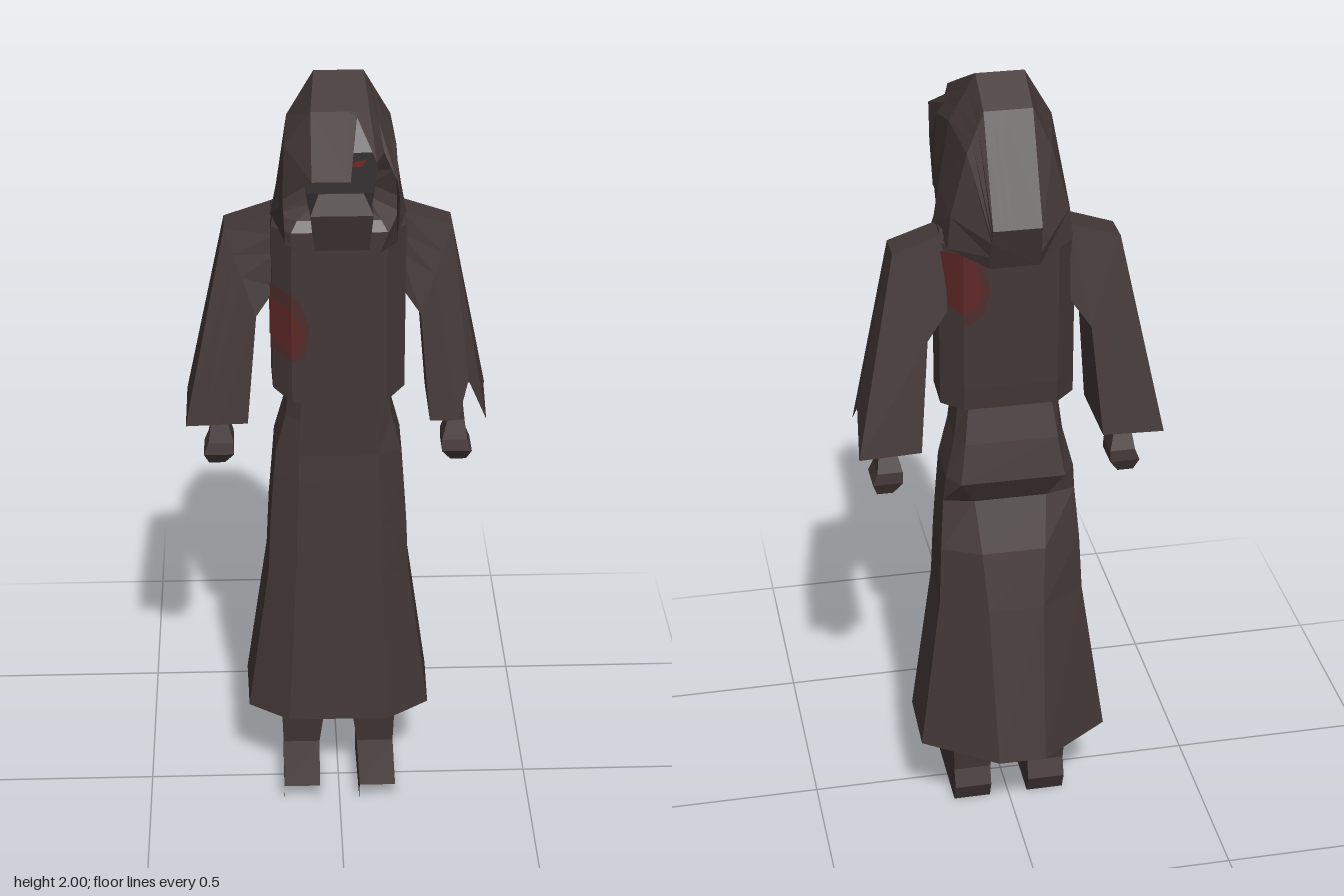
import * as THREE from 'three';

const DS = THREE.DoubleSide;
const mat = (name, color, side = THREE.FrontSide) => {
  const m = new THREE.MeshStandardMaterial({ color, flatShading: true, side });
  m.name = name;
  return m;
};

// Flat-shaded mesh from a list of polygons, each split as a fan
function polyMesh(name, polys, material) {
  const v = [];
  for (const p of polys)
    for (let i = 1; i < p.length - 1; i++) v.push(...p[0], ...p[i], ...p[i + 1]);
  const g = new THREE.BufferGeometry();
  g.setAttribute('position', new THREE.Float32BufferAttribute(v, 3));
  g.computeVertexNormals();
  const mesh = new THREE.Mesh(g, material);
  mesh.name = name;
  return mesh;
}

// Quads between successive rings; rings rise and run counter-clockwise from above
function loft(rings, { closed = true, bottom = false, top = false, flip = false } = {}) {
  const polys = [];
  for (let i = 0; i < rings.length - 1; i++) {
    const a = rings[i], b = rings[i + 1], n = a.length;
    for (let j = 0; j < (closed ? n : n - 1); j++) {
      const k = (j + 1) % n;
      polys.push([a[j], a[k], b[k], b[j]]);
    }
  }
  if (bottom) polys.push([...rings[0]].reverse());
  if (top) polys.push([...rings[rings.length - 1]]);
  return flip ? polys.map((p) => [...p].reverse()) : polys;
}

// Eight-sided ring: side width w, side corners sf/sb, back edge b/zb, front edge f/zf
const ring8 = (y, w, sf, sb, b, zb, f, zf) => [
  [w * 0.98, y, sf], [w, y, sb], [b, y, zb], [-b, y, zb],
  [-w, y, sb], [-w * 0.98, y, sf], [-f, y, zf], [f, y, zf],
];
const ring4 = (y, x0, x1, z0, z1) => [[x1, y, z1], [x1, y, z0], [x0, y, z0], [x0, y, z1]];
const mirror = (polys, s) =>
  s > 0 ? polys : polys.map((p) => p.map(([x, y, z]) => [-x, y, z]).reverse());
const mix = (a, b, t) => a.map((v, i) => v + (b[i] - v) * t);
const neg = ([x, y, z]) => [-x, y, z];

// Sleeve, from shoulder down to the flared cuff
function sleeve(torn) {
  const ring = (ox, oy, ob, of, ix, iy, ib, inf) => {
    const OB = [ox, oy, ob], OF = [ox, oy, of], IF = [ix, iy, inf], IB = [ix, iy, ib];
    return [OB, mix(OB, OF, 0.6), OF, mix(OF, IF, 0.3), mix(OF, IF, 0.55), IF, IB];
  };
  const cuff = ring(0.378, 1.095, -0.16, 0.05, 0.225, 1.1, -0.16, 0.05);
  if (torn) {
    cuff[2] = [0.365, 1.1, 0.045];
    cuff[1] = [0.362, 1.17, -0.03];
    cuff[3] = [0.32, 1.2, 0.03];
    cuff[4] = [0.295, 1.1, 0.05];
  }
  return loft([
    ring(0.15, 1.642, -0.085, -0.005, 0.15, 1.45, -0.11, 0.01),
    ring(0.275, 1.6, -0.085, -0.005, 0.2, 1.38, -0.12, 0.025),
    cuff,
  ], { flip: false });
}

// Shoe: upper, sides and heel, open at the toe and sole
function shoe() {
  const prof = [[0.055, 0.13], [0, 0.11], [0, -0.11], [0.05, -0.13], [0.1, -0.115], [0.1, -0.01]];
  const out = prof.map(([y, z]) => [0.146, y, z]);
  const inn = prof.map(([y, z]) => [0.05 + 0.02 * Math.max(z, 0), y, z]);
  const polys = [out, [...inn].reverse()];
  for (const i of [2, 3, 5]) {
    const k = (i + 1) % 6;
    polys.push([out[i], inn[i], inn[k], out[k]]);
  }
  return polys;
}

// Hood section: an arch from the right lower edge over the top to the left
function arch(bot, mid, up, top) {
  const L = [bot, mid, up, top].map(neg);
  return [...L, mix(L[3], top, 0.62), mix(L[3], top, 0.8), top,
    mix(top, up, 0.35), mix(top, up, 0.7), up, mid, bot];
}

export function createModel() {
  const cloth = mat('dark cloth', 0x423736, DS);
  const shade = mat('shadowed face', 0x363032, DS);
  const blood = mat('dried red stain', 0x5e2727, DS);
  const bloodEdge = mat('faded red stain', 0x4d2d2c, DS);
  const eyeMat = mat('red eyes', 0x74261c, DS);
  const leather = mat('dark leather', 0x413635);

  const model = new THREE.Group();
  model.name = 'hoodedFigure';
  const add = (name, polys, m = cloth) => model.add(polyMesh(name, polys, m));

  // Robe skirt with the sash bulge at the back
  add('skirt', loft([
    ring8(0.24, 0.24, 0.015, -0.17, 0.06, -0.295, 0.13, 0.09),
    ring8(0.65, 0.183, 0.012, -0.14, 0.07, -0.21, 0.11, 0.06),
    ring8(0.8, 0.176, 0.01, -0.13, 0.08, -0.175, 0.105, 0.052),
    ring8(0.93, 0.166, 0.01, -0.11, 0.09, -0.13, 0.1, 0.045),
    ring8(1.0, 0.16, 0.01, -0.12, 0.13, -0.165, 0.1, 0.04),
    ring8(1.1, 0.135, 0.01, -0.1, 0.115, -0.145, 0.095, 0.038),
    ring8(1.22, 0.12, 0.01, -0.09, 0.1, -0.115, 0.09, 0.036),
  ], { bottom: true }));

  // Torso
  const torsoBottom = ring8(1.19, 0.165, 0.03, -0.08, 0.115, -0.13, 0.115, 0.075);
  torsoBottom[6][1] = torsoBottom[7][1] = 1.17;
  add('torso', loft([
    torsoBottom,
    ring8(1.25, 0.165, 0.03, -0.08, 0.115, -0.135, 0.115, 0.075),
    ring8(1.62, 0.165, 0.03, -0.08, 0.115, -0.135, 0.115, 0.075),
    ring8(1.645, 0.16, 0.02, -0.07, 0.1, -0.12, 0.1, 0.06),
    ring8(1.69, 0.07, 0.02, -0.06, 0.05, -0.09, 0.05, 0.05),
  ], { bottom: true, top: true }));

  // Stains: thin faces over the front and back panels and their bevels
  const front = 0.078, back = -0.138;
  add('chestStainEdge', [
    [[-0.116, 1.46, front], [-0.116, 1.28, front], [-0.085, 1.29, front], [-0.07, 1.37, front], [-0.09, 1.43, front]],
    [[-0.116, 1.46, front], [-0.166, 1.475, 0.033], [-0.166, 1.3, 0.033], [-0.116, 1.28, front]],
  ], bloodEdge);
  add('chestStain', [
    [[-0.116, 1.42, front + 0.002], [-0.116, 1.3, front + 0.002], [-0.095, 1.31, front + 0.002], [-0.083, 1.36, front + 0.002]],
    [[-0.116, 1.42, front + 0.002], [-0.168, 1.44, 0.035], [-0.168, 1.34, 0.035], [-0.116, 1.3, front + 0.002]],
  ], blood);
  add('backStainEdge', [
    [[0.116, 1.62, back], [0.116, 1.42, back], [0.07, 1.44, back], [0.05, 1.51, back], [0.07, 1.61, back]],
  ], bloodEdge);
  add('backStain', [
    [[0.116, 1.61, back - 0.002], [0.116, 1.45, back - 0.002], [0.08, 1.47, back - 0.002], [0.068, 1.52, back - 0.002], [0.09, 1.6, back - 0.002]],
    [[0.116, 1.61, back - 0.002], [0.168, 1.6, -0.083], [0.168, 1.48, -0.083], [0.116, 1.45, back - 0.002]],
  ], blood);

  // Arms and legs, mirrored; only the left sleeve is torn
  for (const s of [1, -1]) {
    const side = s > 0 ? 'left' : 'right';
    add(side + 'Sleeve', mirror(sleeve(s > 0), s));
    add(side + 'Hand', mirror(loft([
      ring4(0.945, 0.285, 0.325, -0.075, -0.035),
      ring4(0.98, 0.262, 0.337, -0.092, -0.01),
      ring4(1.01, 0.262, 0.325, -0.09, -0.015),
      ring4(1.06, 0.275, 0.318, -0.072, -0.028),
      ring4(1.3, 0.23, 0.29, -0.08, -0.02),
    ], { bottom: true }), s));
    add(side + 'Leg', mirror(loft([
      ring4(0.1, 0.05, 0.146, -0.115, -0.01),
      ring4(0.3, 0.025, 0.152, -0.14, 0.02),
    ]), s), leather);
    add(side + 'Shoe', mirror(shoe(), s), leather);
  }

  // Head inside the hood, with a wrapped lower face
  add('head', loft([
    ring4(1.62, -0.06, 0.06, -0.08, 0.09),
    ring4(1.74, -0.08, 0.08, -0.09, 0.12),
    ring4(1.84, -0.09, 0.09, -0.08, 0.12),
    ring4(1.91, -0.06, 0.06, -0.06, 0.08),
  ], { bottom: true, top: true }), shade);
  add('faceWrap', loft([
    ring4(1.59, -0.06, 0.07, 0.02, 0.11),
    ring4(1.69, -0.07, 0.078, 0.02, 0.14),
    ring4(1.74, -0.05, 0.055, 0.02, 0.125),
  ], { bottom: true, top: true }));
  for (const s of [1, -1])
    add('eye', mirror([[[0.02, 1.808, 0.123], [0.05, 1.806, 0.123], [0.062, 1.824, 0.123], [0.035, 1.819, 0.123]]], s), eyeMat);

  // Hood, back to front, ending in a rim torn on the left
  const rim = arch([0.095, 1.585, 0.115], [0.13, 1.645, 0.19], [0.135, 1.76, 0.2], [0.07, 1.84, 0.295]);
  rim[4] = [0.018, 1.84, 0.295];
  rim[5] = [0.038, 1.935, 0.14];
  rim[6] = [0.078, 1.875, 0.265];
  rim[7] = [0.098, 1.87, 0.195];
  rim[8] = [0.125, 1.83, 0.268];
  const hood = [
    arch([0.06, 1.585, -0.175], [0.06, 1.62, -0.187], [0.06, 1.66, -0.2], [0.058, 1.695, -0.21]),
    arch([0.15, 1.62, -0.12], [0.142, 1.7, -0.12], [0.1, 1.85, -0.11], [0.058, 1.945, -0.095]),
    arch([0.163, 1.64, 0], [0.148, 1.72, 0.01], [0.122, 1.89, 0], [0.058, 2.0, 0.005]),
    arch([0.14, 1.625, 0.08], [0.142, 1.7, 0.11], [0.13, 1.86, 0.12], [0.068, 1.943, 0.125]),
    rim,
  ];
  const hoodPolys = loft(hood, { closed: false });
  hoodPolys.push([...hood[0]]);
  add('hood', hoodPolys);

  return model;
}
